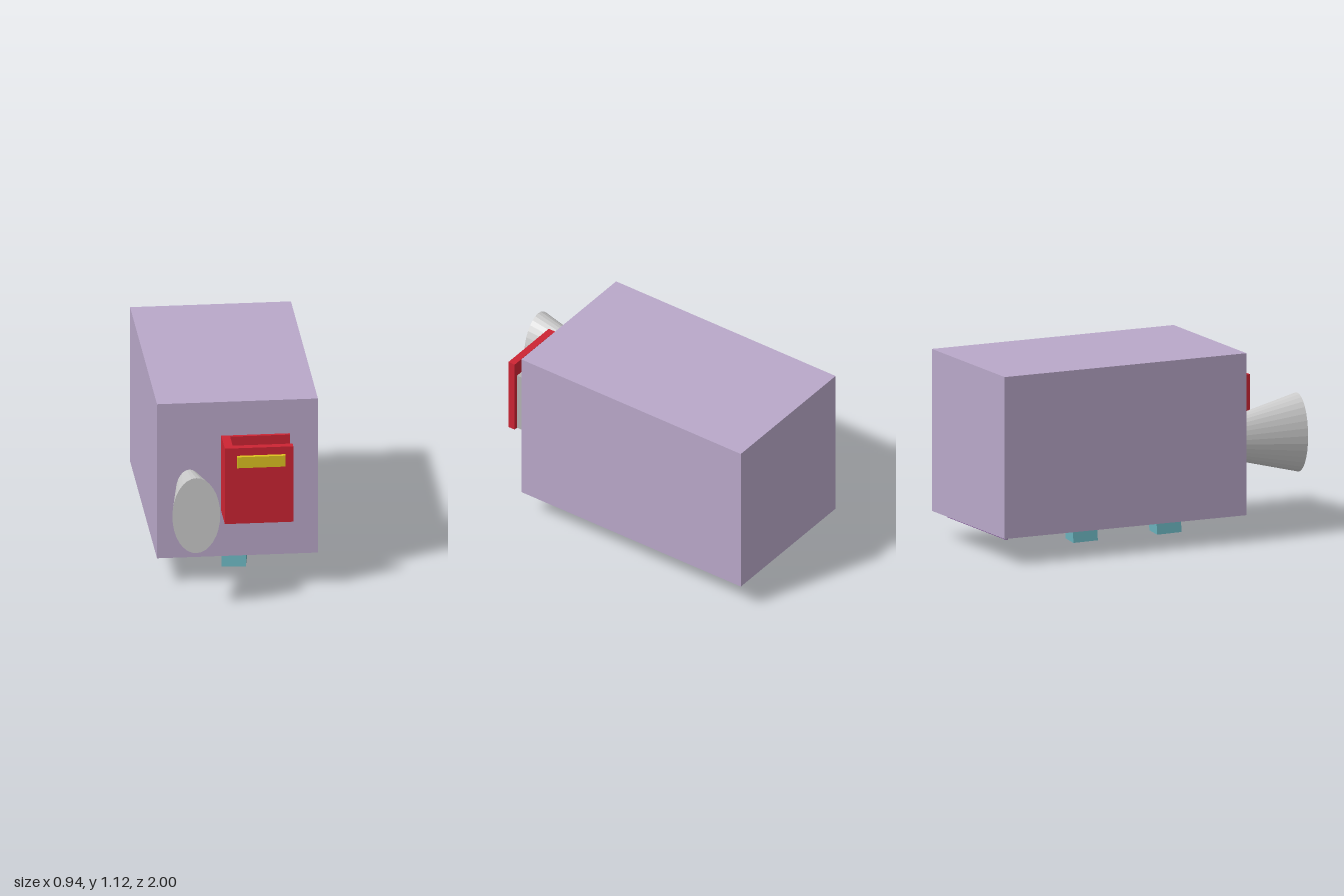
import * as THREE from 'three';

const material = (color) => new THREE.MeshStandardMaterial({ color, flatShading: true });

// Box given by its [min, max] range along each axis
function block(name, mat, [x0, x1], [y0, y1], [z0, z1]) {
  const mesh = new THREE.Mesh(new THREE.BoxGeometry(x1 - x0, y1 - y0, z1 - z0), mat);
  mesh.position.set((x0 + x1) / 2, (y0 + y1) / 2, (z0 + z1) / 2);
  mesh.name = name;
  return mesh;
}

// Rectangle outline on the ground plane (shape y is -z)
function rectangle(Type, x0, x1, z0, z1) {
  const path = new Type();
  path.moveTo(x0, -z1);
  path.lineTo(x1, -z1);
  path.lineTo(x1, -z0);
  path.lineTo(x0, -z0);
  path.closePath();
  return path;
}

export function createModel() {
  const model = new THREE.Group();
  const lavender = material(0xb9a8c9);
  const purple = material(0x6f3c88);
  const teal = material(0x6cb5c0);
  const red = material(0xcc2433);
  const yellow = material(0xdcc120);
  const grey = material(0xb3b3b3);
  const paleGrey = material(0xc2c6c6);

  // Body: three compartments open downwards, closed by a roof
  const bays = [[-0.95, -0.58], [-0.45, -0.08], [0.11, 0.47]];
  const bottom = 0.16, ceiling = 1.05, top = 1.12;
  const outline = rectangle(THREE.Shape, -0.47, 0.47, -1, 0.575);
  for (const [z0, z1] of bays) outline.holes.push(rectangle(THREE.Path, -0.4, 0.4, z0, z1));
  const wallGeometry = new THREE.ExtrudeGeometry(outline, { depth: ceiling - bottom, bevelEnabled: false });
  wallGeometry.rotateX(-Math.PI / 2);
  const walls = new THREE.Mesh(wallGeometry, lavender);
  walls.position.y = bottom;
  walls.name = 'bodyWalls';
  model.add(walls, block('bodyRoof', lavender, [-0.47, 0.47], [ceiling, top], [-1, 0.575]));

  // Two closed doors with slightly turned handles, one door swung open
  for (const [z0, z1] of bays.slice(1)) {
    model.add(block('closedDoor', purple, [-0.378, 0.375], [0.175, 0.195], [z0 + 0.01, z1 - 0.01]));
    const handle = new THREE.Mesh(new THREE.BoxGeometry(0.14, 0.092, 0.15), teal);
    handle.position.set(0.01, 0.052, (z0 + z1) / 2 - 0.003 + (z0 < 0 ? 0.01 : 0));
    handle.rotation.set(-0.045, -0.14, 0);
    handle.name = 'doorHandle';
    model.add(handle);
  }
  model.add(block('openDoor', purple, [-0.378, 0.375], [0.135, 0.49], [-0.949, -0.931]));

  // Front bracket, open at the top and on one side, holding a block
  const bracket = new THREE.Group();
  bracket.name = 'frontHolder';
  bracket.add(
    block('holderBackPlate', red, [-0.095, 0.305], [0.44, 0.91], [0.575, 0.597]),
    block('holderFrontPlate', red, [-0.095, 0.305], [0.44, 0.91], [0.742, 0.787]),
    block('holderSide', red, [-0.095, -0.045], [0.44, 0.91], [0.597, 0.742]),
    block('heldBlock', grey, [-0.045, 0.282], [0.44, 0.817], [0.597, 0.742]),
    block('holderLabelBar', yellow, [-0.025, 0.258], [0.795, 0.863], [0.787, 0.812]),
  );
  model.add(bracket);

  // Oval horn, widening towards the front
  const hornGeometry = new THREE.CylinderGeometry(0.14, 0.08, 0.4, 32);
  hornGeometry.rotateX(Math.PI / 2).scale(1, 1.67, 1);
  const horn = new THREE.Mesh(hornGeometry, paleGrey);
  horn.position.set(-0.283, 0.582, 0.8);
  horn.name = 'horn';
  model.add(horn);

  return model;
}
